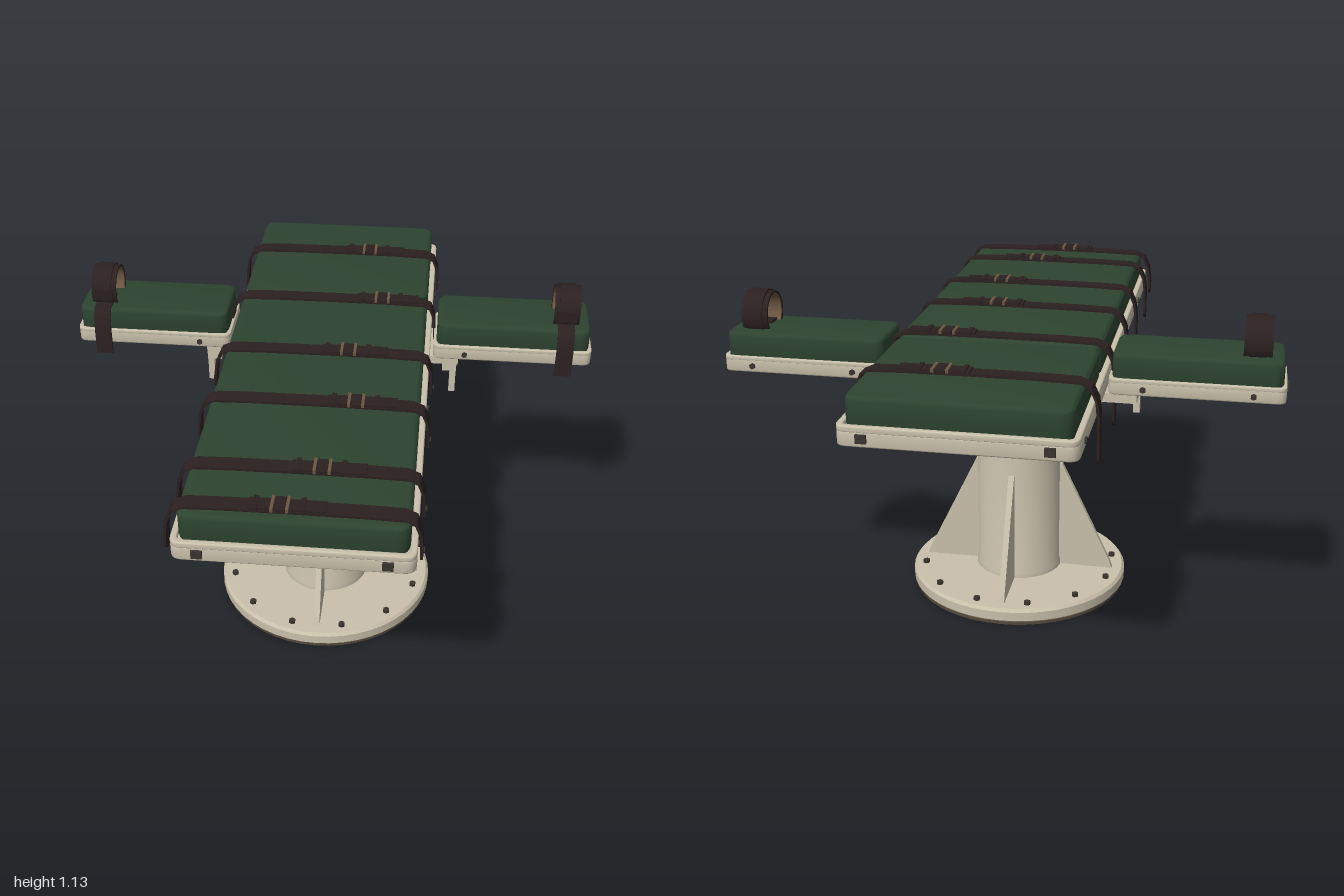
import * as THREE from 'three';
import { toCreasedNormals } from 'three/addons/utils/BufferGeometryUtils.js';

const mat = (name, color) => {
  const m = new THREE.MeshStandardMaterial({ color });
  m.name = name;
  return m;
};

export function createModel() {
  const root = new THREE.Group();
  root.name = 'restraintTable';
  const cream = mat('creamEnamel', 0xc9c0ab);
  const green = mat('greenVinyl', 0x2d4430);
  const leather = mat('darkLeather', 0x2c2020);
  const brass = mat('dullBrass', 0x6b5642);
  const steel = mat('darkSteel', 0x39342e);
  const rubber = mat('brownRubber', 0x55483b);

  const add = (name, geo, material, x = 0, y = 0, z = 0, parent = root) => {
    const m = new THREE.Mesh(geo, material);
    m.name = name;
    m.position.set(x, y, z);
    parent.add(m);
    return m;
  };
  const box = (name, w, h, d, material, x, y, z, parent) =>
    add(name, new THREE.BoxGeometry(w, h, d), material, x, y, z, parent);

  // Rounded rectangle path, centred
  const roundRect = (w, d, r, Type = THREE.Shape) => {
    const s = new Type(), a = w / 2, b = d / 2;
    s.moveTo(-a + r, -b);
    s.lineTo(a - r, -b); s.quadraticCurveTo(a, -b, a, -b + r);
    s.lineTo(a, b - r); s.quadraticCurveTo(a, b, a - r, b);
    s.lineTo(-a + r, b); s.quadraticCurveTo(-a, b, -a, b - r);
    s.lineTo(-a, -b + r); s.quadraticCurveTo(-a, -b, -a + r, -b);
    return s;
  };
  // Horizontal rounded slab with bevelled edges, from y = 0 to y = h
  const slab = (w, d, h, r, bevel, hole) => {
    const s = roundRect(w - 2 * bevel, d - 2 * bevel, r);
    if (hole) s.holes.push(roundRect(w - 2 * hole, d - 2 * hole, r * 0.7, THREE.Path));
    const g = new THREE.ExtrudeGeometry(s, {
      depth: h - 2 * bevel, bevelEnabled: true, bevelThickness: bevel,
      bevelSize: bevel, bevelSegments: 3, curveSegments: 5,
    });
    g.rotateX(-Math.PI / 2).translate(0, bevel, 0);
    return toCreasedNormals(g, 0.6);
  };
  // Thick ribbon following 2D points, extruded to a centred width
  const band = (pts, width, t = 0.008) => {
    const p = pts.map(([x, y]) => new THREE.Vector2(x, y));
    const side = (k) => p.map((q, i) => {
      const d = p[Math.min(i + 1, p.length - 1)].clone().sub(p[Math.max(i - 1, 0)]).normalize();
      return new THREE.Vector2(q.x - d.y * k, q.y + d.x * k);
    });
    const s = new THREE.Shape([...side(t / 2), ...side(-t / 2).reverse()]);
    const g = new THREE.ExtrudeGeometry(s, { depth: width, bevelEnabled: false });
    return toCreasedNormals(g.translate(0, 0, -width / 2), 0.6);
  };
  const bolt = (x, y, z, axis, r = 0.012, h = 0.014, parent = root) => {
    const b = add('bolt', new THREE.CylinderGeometry(r, r, h, 6), steel, x, y, z, parent);
    if (axis === 'x') b.rotation.z = Math.PI / 2;
    if (axis === 'z') b.rotation.x = Math.PI / 2;
  };

  // Floor flange and column
  add('rubberPad', new THREE.CylinderGeometry(0.383, 0.383, 0.01, 48), rubber, 0, 0.005, 0);
  const flange = [[0, 0.01], [0.38, 0.01], [0.389, 0.018], [0.389, 0.05], [0.38, 0.06], [0, 0.063]];
  add('baseFlange', toCreasedNormals(new THREE.LatheGeometry(
    flange.map(([x, y]) => new THREE.Vector2(x, y)), 48), 0.5), cream);
  const post = [[0.155, 0.06], [0.155, 0.08], [0.15, 0.095], [0.15, 0.81], [0.165, 0.82], [0.165, 0.85], [0, 0.85]];
  add('column', toCreasedNormals(new THREE.LatheGeometry(
    post.map(([x, y]) => new THREE.Vector2(x, y)), 40), 0.5), cream);
  for (let i = 0; i < 12; i++) {
    const a = (i + 0.5) * Math.PI / 6;
    bolt(0.345 * Math.cos(a), 0.065, 0.345 * Math.sin(a), 'y', 0.012, 0.014);
  }

  // Four triangular gussets
  const fin = new THREE.Shape([[0.14, 0.06], [0.345, 0.06], [0.335, 0.09], [0.157, 0.46], [0.14, 0.46]]
    .map(([x, y]) => new THREE.Vector2(x, y)));
  const finGeo = new THREE.ExtrudeGeometry(fin, { depth: 0.02, bevelEnabled: false }).translate(0, 0, -0.01);
  for (let i = 0; i < 4; i++) add('gusset', finGeo, cream).rotation.y = i * Math.PI / 2;

  // Under-table mount, rails and crossbars
  box('mountPlate', 0.4, 0.025, 0.42, cream, 0, 0.863, 0);
  for (const s of [-1, 1]) {
    box('underRail', 0.04, 0.03, 1.5, cream, s * 0.2, 0.862, 0);
    box('crossbar', 0.4, 0.014, 0.03, cream, 0, 0.871, s * 0.36);
    for (const z of [0.46, -0.81]) box('railBracket', 0.03, 0.04, 0.03, cream, s * 0.32, 0.86, z);
  }

  // Table tray, rim and cushions
  add('tableTray', slab(0.7, 1.96, 0.048, 0.03, 0.005), cream, 0, 0.877, 0);
  add('trayRim', slab(0.7, 1.96, 0.02, 0.03, 0.004, 0.016), cream, 0, 0.92, 0);
  add('headCushion', slab(0.66, 0.585, 0.1, 0.03, 0.014), green, 0, 0.92, -0.665);
  add('bodyCushion', slab(0.66, 1.325, 0.1, 0.03, 0.014), green, 0, 0.92, 0.295);
  for (const s of [-1, 1]) {
    for (const z of [-0.87, -0.62, -0.05, 0.17, 0.62, 0.87]) bolt(s * 0.351, 0.903, z, 'x', 0.011, 0.012);
    for (const x of [-0.27, 0.27]) box('endLatch', 0.032, 0.026, 0.014, steel, x, 0.905, s * 0.982);
  }

  // Body straps: z, buckle x, lower end of the loose tail
  const straps = [[-0.71, 0.1, 0.795], [-0.33, 0.17, 0.775], [0.04, 0.08, 0.9],
    [0.35, 0.13, 0.81], [0.71, 0.06, 0.84], [0.9, -0.04, 0.89]];
  for (const [z, bx, tail] of straps) {
    const g = new THREE.Group();
    g.name = 'bodyStrap';
    g.position.z = z;
    root.add(g);
    add('strap', band([[-0.372, tail], [-0.371, 0.92], [-0.364, 0.97], [-0.345, 1.01], [-0.31, 1.024],
      [-0.2, 1.027], [0, 1.028], [0.2, 1.027], [0.31, 1.024], [0.342, 1.01], [0.358, 0.97],
      [0.362, 0.89]], 0.055), leather, 0, 0, 0, g);
    const tip = add('tailTip', new THREE.CylinderGeometry(0.0275, 0.0275, 0.008, 16), leather, -0.372, tail, 0, g);
    tip.rotation.z = Math.PI / 2;
    // Buckle bars, keepers and overlapping strap end
    box('strapOverlap', 0.22, 0.007, 0.05, leather, bx + 0.02, 1.034, 0, g);
    box('bucklePad', 0.03, 0.009, 0.064, leather, bx, 1.036, 0, g);
    for (const dx of [-0.022, 0.022]) box('buckleBar', 0.009, 0.012, 0.066, brass, bx + dx, 1.037, 0, g);
    for (const dx of [-0.07, 0.065]) box('keeper', 0.014, 0.012, 0.062, leather, bx + dx, 1.035, 0, g);
    bolt(0.366, 0.905, 0, 'x', 0.009, 0.008, g);
  }

  // Arm boards with cuffs
  const ring = (r) => Array.from({ length: 29 }, (_, i) => {
    const a = -Math.PI / 2 + 0.02 + (i / 28) * (2 * Math.PI - 0.04);
    return [-0.3 + r * Math.cos(a), 1.054 + r * Math.sin(a)];
  });
  const armStrap = [[-0.166, 0.85], [-0.168, 0.94], [-0.176, 0.99], [-0.195, 1.013], [-0.24, 1.018], [-0.3, 1.018]];
  for (const s of [-1, 1]) {
    const arm = new THREE.Group();
    arm.name = s > 0 ? 'leftArmBoard' : 'rightArmBoard';
    root.add(arm);
    const zc = -0.305;
    add('armTray', slab(0.55, 0.25, 0.045, 0.025, 0.005), cream, s * 0.635, 0.885, zc, arm);
    add('armRim', slab(0.55, 0.25, 0.015, 0.025, 0.003, 0.012), cream, s * 0.635, 0.923, zc, arm);
    add('armCushion', slab(0.53, 0.23, 0.09, 0.025, 0.013), green, s * 0.635, 0.925, zc, arm);
    // Hinge plate and locking post
    box('hingePlate', 0.13, 0.03, 0.2, cream, s * 0.385, 0.865, zc, arm);
    box('hingeLug', 0.05, 0.05, 0.07, cream, s * 0.42, 0.86, -0.22, arm);
    box('lockPost', 0.022, 0.14, 0.028, cream, s * 0.433, 0.82, -0.2, arm);
    for (const x of [0.47, 0.81]) for (const z of [-0.178, -0.432]) bolt(s * x, 0.907, z, 'z', 0.01, 0.012, arm);
    box('armEndLatch', 0.014, 0.026, 0.036, steel, s * 0.913, 0.905, -0.3, arm);
    // Lined wrist cuff and hanging strap
    const x = s * 0.815;
    const across = (name, pts, w, t, material = leather) => {
      add(name, band(pts, w, t), material, x, 0, 0, arm).rotation.y = -Math.PI / 2;
    };
    across('wristCuff', ring(0.07), 0.088, 0.008);
    across('cuffLining', ring(0.064), 0.084, 0.004, brass);
    across('cuffStrap', ring(0.076), 0.055, 0.007);
    across('hangingStrap', armStrap, 0.058, 0.008);
    box('cuffBuckle', 0.066, 0.04, 0.01, leather, x, 1.055, -0.22, arm);
  }

  // Height lever with dark grip
  const lever = new THREE.Group();
  lever.name = 'heightLever';
  root.add(lever);
  box('leverBlock', 0.08, 0.026, 0.05, cream, -0.18, 0.805, 0, lever);
  const rod = (name, a, b, r, material) => add(name, new THREE.TubeGeometry(
    new THREE.LineCurve3(new THREE.Vector3(...a), new THREE.Vector3(...b)), 1, r, 10), material, 0, 0, 0, lever);
  rod('leverRod', [-0.2, 0.806, 0], [-0.32, 0.765, 0], 0.007, steel);
  rod('leverGrip', [-0.3, 0.772, 0], [-0.37, 0.747, 0], 0.015, leather);
  for (const [x, y] of [[-0.37, 0.747], [-0.3, 0.772]]) {
    add('gripEnd', new THREE.SphereGeometry(0.015, 10, 8), leather, x, y, 0, lever);
  }

  return root;
}
